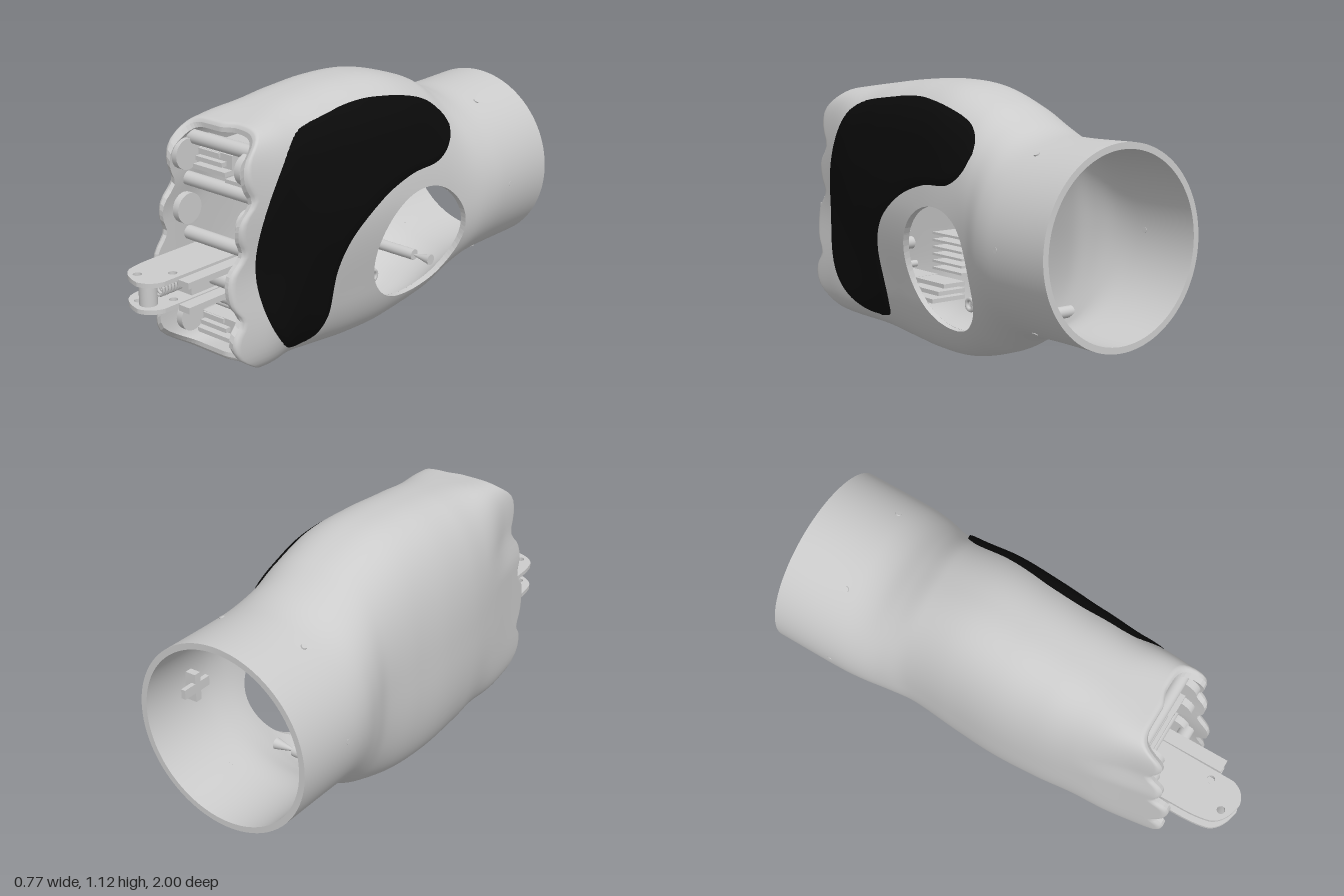
import * as THREE from 'three';
import { ParametricGeometry } from 'three/addons/geometries/ParametricGeometry.js';

const grey = new THREE.MeshStandardMaterial({ color: 0xcccccc, side: THREE.DoubleSide });
const black = new THREE.MeshStandardMaterial({ color: 0x0a0a0a, side: THREE.DoubleSide });
const { smoothstep, clamp } = THREE.MathUtils;

// Shell sections: z, x min, x max, y min, y max, superellipse power
const SECTIONS = [
  [-1, -.385, .385, .175, .945, 2], [-.7, -.385, .385, .175, .942, 2],
  [-.6, -.375, .37, .16, .957, 2.05], [-.5, -.35, .335, .115, 1, 2.2],
  [-.4, -.327, .315, .065, 1.05, 2.4], [-.2, -.335, .3, .012, 1.108, 2.5],
  [0, -.345, .285, .003, 1.12, 2.5], [.2, -.335, .265, .02, 1.108, 2.6],
  [.4, -.305, .24, .05, 1.083, 3.2], [.6, -.265, .21, .085, 1.053, 6],
  [.8, -.23, .19, .105, 1.035, 8],
];
// Scalloped knuckle edge: y, z
const KNUCKLES = [[.085, .59], [.13, .67], [.19, .75], [.26, .76], [.33, .72], [.4, .76], [.52, .76],
  [.6, .7], [.67, .72], [.74, .715], [.81, .66], [.89, .69], [.97, .68], [1.05, .585]];
const HOLE = { y: .403, z: -.257, r: .25 };

// Smooth interpolation of column c in a table sorted on column 0
function sample(table, t, c) {
  const n = table.length - 1;
  t = clamp(t, table[0][0], table[n][0]);
  let k = 0;
  while (k < n - 1 && t > table[k + 1][0]) k++;
  const slope = i => {
    const a = table[Math.max(0, i - 1)], b = table[Math.min(n, i + 1)];
    return (b[c] - a[c]) / (b[0] - a[0]);
  };
  const h = table[k + 1][0] - table[k][0], s = (t - table[k][0]) / h, s2 = s * s, s3 = s2 * s;
  return (2 * s3 - 3 * s2 + 1) * table[k][c] + (s3 - 2 * s2 + s) * h * slope(k)
    + (3 * s2 - 2 * s3) * table[k + 1][c] + (s3 - s2) * h * slope(k + 1);
}

function section(z, inset = 0) {
  const [l, r, b, t, n] = [1, 2, 3, 4, 5].map(c => sample(SECTIONS, z, c));
  return { cx: (l + r) / 2, cy: (b + t) / 2, a: (r - l) / 2 - inset, b: (t - b) / 2 - inset, n };
}

// Palm tapers towards its lower edge; the front opening is waisted
function sideScale(y, z, right) {
  const front = smoothstep(z, .35, .6);
  if (!right) return 1 - .11 * front * smoothstep(y, .66, .84);
  const palm = smoothstep(z, -.5, -.2) * (1 - smoothstep(z, .25, .6));
  return 1 + palm * (.09 * smoothstep(y, .8, 1.04) - .15 * (1 - smoothstep(y, .25, .65)))
    - .09 * front * Math.exp(-(((y - .52) / .17) ** 2));
}

// x of the +x wall at a given y and z
function wallX(y, z, inset = 0) {
  const s = section(z, inset), d = Math.min(1, Math.abs(y - s.cy) / s.b);
  return s.cx + s.a * Math.pow(1 - Math.pow(d, s.n), 1 / s.n) * sideScale(y, z, true);
}

function makeGeometry(positions, index) {
  const g = new THREE.BufferGeometry();
  g.setAttribute('position', new THREE.Float32BufferAttribute(positions, 3));
  g.setIndex(index);
  g.computeVertexNormals();
  return g;
}

// Hollow shell: outer skin, inner skin and the rims joining them
function buildShell() {
  const N = 136, BODY = 92, LIP = 5, M = BODY + LIP;
  const outer = [], inner = [], cut = [];
  for (let j = 0; j <= M; j++) {
    const k = Math.max(0, (j - BODY) / LIP);
    const t = j <= BODY ? (j / BODY) * .985 : .985 + .015 * k;
    for (let i = 0; i < N; i++) {
      const ang = (i / N) * Math.PI * 2, c = Math.cos(ang), s = Math.sin(ang);
      const place = (z, inset) => {
        const q = section(z, inset);
        const r = Math.pow(Math.abs(c) ** q.n + Math.abs(s) ** q.n, -1 / q.n), y = q.cy + q.b * s * r;
        return [q.cx + q.a * c * r * sideScale(y, z, c > 0), y, z];
      };
      const front = sample(KNUCKLES, place(.62, 0)[1], 1) - .02 * smoothstep(c, 0, .3);
      const z = -1 + t * (front + 1);
      const thick = .025 + .01 * smoothstep(z, -.6, .5);
      let inside = false;
      [[outer, .016 * (1 - Math.sqrt(1 - k * k))], [inner, thick]].forEach(([list, inset]) => {
        const p = place(z, inset);
        const dy = p[1] - HOLE.y, dz = p[2] - HOLE.z, d = Math.hypot(dy, dz) || 1e-6;
        if (c > 0 && (d < HOLE.r || inside)) {
          inside = inside || list === outer;
          p[1] = HOLE.y + dy / d * HOLE.r;
          p[2] = HOLE.z + dz / d * HOLE.r;
          p[0] = wallX(p[1], p[2], inset);
        }
        list.push(...p);
      });
      cut.push(inside);
    }
  }
  const outIdx = [], inIdx = [], edges = new Map();
  for (let j = 0; j < M; j++) for (let i = 0; i < N; i++) {
    const a = j * N + i, b = j * N + (i + 1) % N, q = [a, b, b + N, a + N];
    if (q.every(v => cut[v])) continue;
    outIdx.push(q[0], q[1], q[2], q[0], q[2], q[3]);
    inIdx.push(q[0], q[2], q[1], q[0], q[3], q[2]);
    q.forEach((v, e) => {
      const w = q[(e + 1) % 4];
      if (!edges.delete(w + '_' + v)) edges.set(v + '_' + w, [v, w]);
    });
  }
  const rim = [], rimIdx = [];
  for (const [p, q] of edges.values()) {
    const base = rim.length / 3;
    [[outer, q], [outer, p], [inner, p], [inner, q]].forEach(([l, v]) => rim.push(l[v * 3], l[v * 3 + 1], l[v * 3 + 2]));
    rimIdx.push(base, base + 1, base + 2, base, base + 2, base + 3);
  }
  return { outerShell: makeGeometry(outer, outIdx), innerShell: makeGeometry(inner, inIdx), shellRims: makeGeometry(rim, rimIdx) };
}

// Grip pad: surface between two edge curves (z, y), laid on the wall
function buildPad() {
  const curve = pts => new THREE.CatmullRomCurve3(pts.map(([z, y]) => new THREE.Vector3(0, y, z)));
  const outerEdge = curve([[.3, .112], [.42, .13], [.545, .25], [.615, .42], [.625, .61], [.57, .8], [.465, .965], [.39, 1.015],
    [.25, 1.04], [0, 1.06], [-.23, 1.03], [-.38, .975], [-.435, .92], [-.45, .87]]);
  const innerEdge = curve([[.3, .112], [.235, .13], [.205, .2], [.2, .42], [.145, .54], [-.015, .665], [-.18, .725], [-.35, .745],
    [-.425, .8], [-.45, .87]]);
  const g = new ParametricGeometry((u, v, out) => {
    out.copy(outerEdge.getPointAt(u)).lerp(innerEdge.getPointAt(u), v);
    out.x = wallX(out.y, out.z) + .01 * Math.min(1, 12 * Math.min(v, 1 - v)) - .001;
  }, 90, 30);
  g.computeVertexNormals();
  return g;
}

export function createModel() {
  const root = new THREE.Group();
  const add = (name, geo, x = 0, y = 0, z = 0, mat = grey) => {
    const m = new THREE.Mesh(geo, mat);
    m.name = name;
    m.position.set(x, y, z);
    root.add(m);
  };
  const box = (name, x0, x1, y0, y1, z0, z1) =>
    add(name, new THREE.BoxGeometry(x1 - x0, y1 - y0, z1 - z0), (x0 + x1) / 2, (y0 + y1) / 2, (z0 + z1) / 2);
  const rodX = (name, x0, x1, y, z, r, tip = r) =>
    add(name, new THREE.CylinderGeometry(r, tip, x1 - x0, 24).rotateZ(Math.PI / 2), (x0 + x1) / 2, y, z);
  const rodY = (name, x, y0, y1, z, r) => add(name, new THREE.CylinderGeometry(r, r, y1 - y0, 24), x, (y0 + y1) / 2, z);

  for (const [name, geo] of Object.entries(buildShell())) add(name, geo);
  add('gripPad', buildPad(), 0, 0, 0, black);

  // Screws around the cuff
  for (let i = 0; i < 6; i++) {
    const a = i * Math.PI / 3;
    add('cuffScrew', new THREE.CylinderGeometry(.012, .012, .028, 12).rotateZ(Math.PI / 2 + a),
      .373 * Math.cos(a), .56 + .373 * Math.sin(a), -.74);
  }

  // Cross bars and knuckle discs behind the front opening
  for (const y of [.35, .57, .795, .97]) rodX('crossBar', -.215, .175, y, .58, .028);
  for (const y of [.24, .46, .69, .91]) {
    rodX('knuckleDisc', -.195, -.165, y, .62, .062);
    rodX('knuckleDisc', .12, .15, y, .6, .062);
  }

  // Finger drives in the top and bottom bays
  for (const y of [.9, .22]) {
    box('driveHousing', -.15, .03, y - .045, y + .035, .3, .58);
    for (let i = 0; i < 3; i++) box('driveStep', -.14, .03 - i * .03, y - .04 + i * .028, y - .022 + i * .028, .1, .62 - i * .015);
    box('driveBracket', .03, .15, y - .06, y - .045, .35, .62);
    rodX('driveShaft', -.18, .14, y + .05, .5, .015);
  }
  box('lowerBayPlate', .08, .115, .135, .32, .4, .6);

  // Hinged finger mount: two rounded plates with pin holes
  const plate = new THREE.Shape();
  plate.moveTo(-.19, .55).lineTo(.02, .55).lineTo(.015, .93).quadraticCurveTo(0, .99, -.06, 1)
    .quadraticCurveTo(-.15, .985, -.175, .93).quadraticCurveTo(-.19, .88, -.19, .8).closePath();
  for (const [x, z] of [[-.025, .85], [-.115, .945]]) plate.holes.push(new THREE.Path().absarc(x, z, .017, 0, Math.PI * 2, true));
  for (const y of [.532, .425]) {
    add('fingerMountPlate', new THREE.ExtrudeGeometry(plate, { depth: .018, bevelEnabled: false, curveSegments: 16 }).rotateX(Math.PI / 2), 0, y, 0);
  }
  box('fingerMountCore', -.1, 0, .424, .515, .45, .78);
  rodY('fingerPivot', -.14, .41, .53, .72, .04);
  rodY('fingerPin', -.065, .41, .53, .94, .035);
  for (const y of [.4, .5]) box('fingerSideArm', .025, .08, y, y + .025, .5, .87);
  rodX('fingerAxle', -.19, .14, .465, .66, .03);
  for (let i = 0; i < 7; i++) {
    add('returnSpring', new THREE.TorusGeometry(.026, .006, 6, 16), -.065, .468, .79 + i * .016);
  }

  // Tendon rods, eyelets and fin rack seen through the side hole and the cuff
  for (const [y, z] of [[.215, -.14], [.185, -.265]]) {
    rodX('tendonRod', -.23, .01, y, z, .018);
    add('tendonEyelet', new THREE.TorusGeometry(.023, .009, 8, 20).rotateY(Math.PI / 2), .02, y, z);
  }
  box('tendonLink', -.01, .01, .19, .21, -.26, -.14);
  rodX('guideRod', -.2, .06, .22, -.5, .024);
  rodX('guideRodTip', .06, .15, .22, -.5, .004, .024);
  for (let i = 0; i < 6; i++) box('rackFin', -.25, -.06, .3 + i * .03, .31 + i * .03, .02, .22);
  box('rackBack', -.265, -.25, .29, .47, .02, .22);

  // Small clip on the inside of the cuff
  box('cuffClip', .31, .365, .5, .62, -.78, -.75);
  box('cuffClip', .31, .33, .54, .58, -.84, -.7);
  return root;
}
